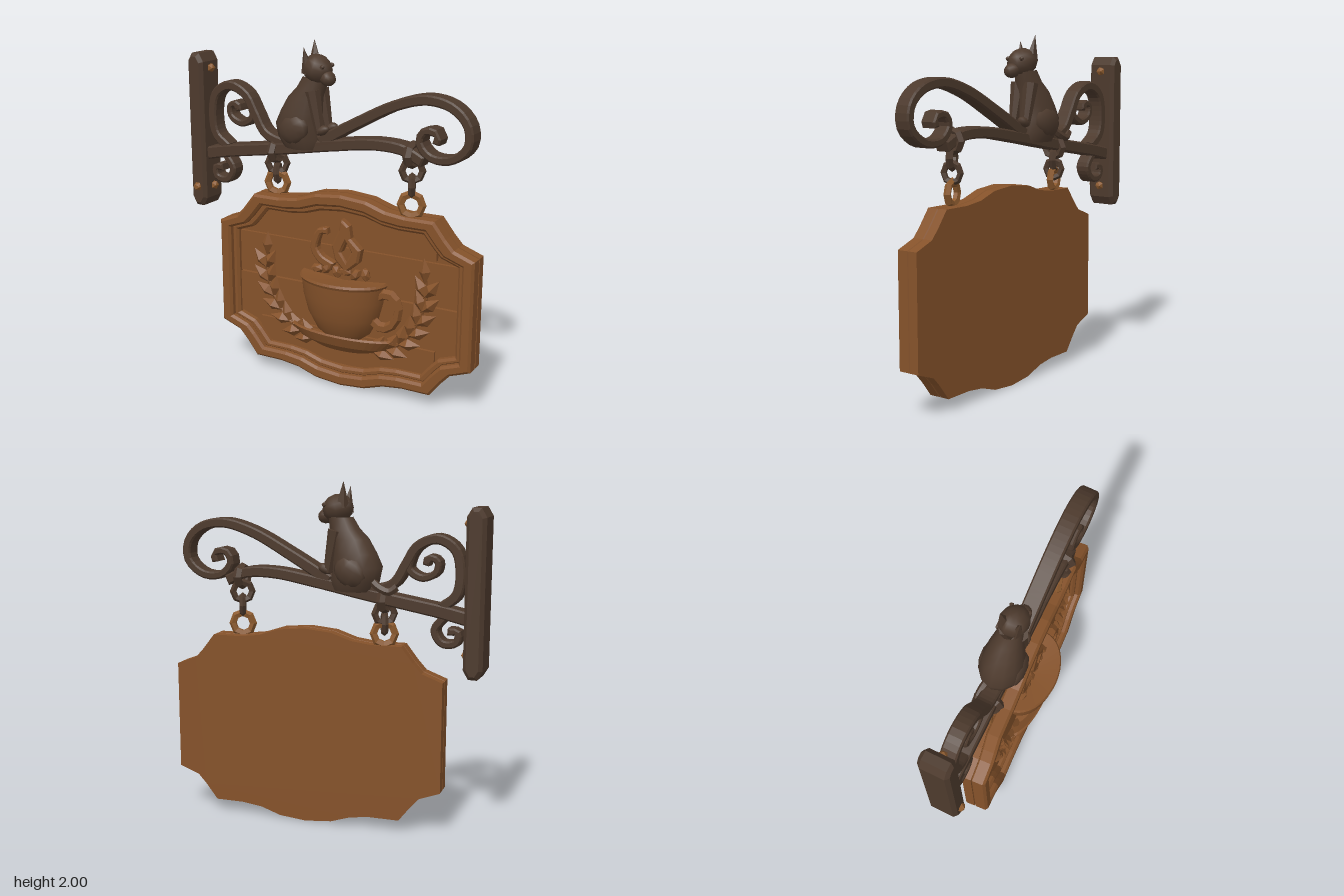
import * as THREE from 'three';

const iron = new THREE.MeshStandardMaterial({ color: 0x4d3a2d });
iron.name = 'dark iron';
const wood = new THREE.MeshStandardMaterial({ color: 0x85522a });
wood.name = 'brown wood';
const copper = new THREE.MeshStandardMaterial({ color: 0x8c5a2e });
copper.name = 'copper';

// Faceted normals for the carved look
function flat(geo) {
  const g = geo.index ? geo.toNonIndexed() : geo;
  g.computeVertexNormals();
  return g;
}

function add(parent, name, geo, mat, pos = [0, 0, 0], rot = [0, 0, 0], scale = [1, 1, 1]) {
  const m = new THREE.Mesh(geo, mat);
  m.name = name;
  m.position.set(...pos);
  m.rotation.set(...rot);
  m.scale.set(...scale);
  parent.add(m);
  return m;
}

const shapeOf = pts => new THREE.Shape(pts.map(p => new THREE.Vector2(p[0], p[1])));

// Extrusion with chamfered edges, spanning z0 to z1
function slab(shape, z0, z1, bevel = 0.012) {
  const g = new THREE.ExtrudeGeometry(shape, {
    depth: z1 - z0 - 2 * bevel, bevelEnabled: bevel > 0, bevelThickness: bevel,
    bevelSize: bevel, bevelOffset: -bevel, bevelSegments: 1, curveSegments: 4,
  });
  return g.translate(0, 0, z0 + bevel);
}

// Flat bar bent along a curve in the XY plane, tapering from t0 to t1
function ribbon(pts, t0, t1, z0, z1, samples = 30) {
  const curve = new THREE.CatmullRomCurve3(pts.map(p => new THREE.Vector3(p[0], p[1], 0)));
  const left = [], right = [];
  for (let i = 0; i <= samples; i++) {
    const t = i / samples, p = curve.getPointAt(t), d = curve.getTangentAt(t);
    const h = (t0 + (t1 - t0) * t) / 2;
    left.push([p.x - d.y * h, p.y + d.x * h]);
    right.unshift([p.x + d.y * h, p.y - d.x * h]);
  }
  return slab(shapeOf([...right, ...left]), z0, z1, 0.009);
}

// Stacked ellipses: [x, y, radiusX, radiusZ]
function loft(sections, n = 12) {
  const pos = [], idx = [];
  for (const [x, y, rx, rz] of sections)
    for (let i = 0; i < n; i++) {
      const a = i / n * Math.PI * 2;
      pos.push(x + Math.cos(a) * rx, y, Math.sin(a) * rz);
    }
  for (let s = 0; s < sections.length - 1; s++)
    for (let i = 0; i < n; i++) {
      const a = s * n + i, b = s * n + (i + 1) % n;
      idx.push(a, a + n, b, b, a + n, b + n);
    }
  const g = new THREE.BufferGeometry();
  g.setAttribute('position', new THREE.Float32BufferAttribute(pos, 3));
  g.setIndex(idx);
  g.computeVertexNormals();
  return g;
}

// Board outline with notched corners and wavy top and bottom
function outline(inset) {
  const kx = 1 - inset / 0.81, ky = 1 - inset / 0.58;
  const q = [[0.81, 0.32], [0.69, 0.365], [0.64, 0.42], [0.57, 0.51], [0.4, 0.51], [0.28, 0.525], [0.16, 0.565]]
    .map(([x, y]) => [x * kx, y * ky]);
  const top = [...q, [0, 0.58 * ky], ...q.slice().reverse().map(([x, y]) => [-x, y])];
  return [...top, ...top.map(([x, y]) => [-x, -y])];
}

function makeBoard() {
  const b = new THREE.Group();
  b.name = 'signBoard';
  add(b, 'backPanel', slab(shapeOf(outline(0)), -0.07, -0.015, 0), wood);
  // Two-step moulding
  [[0, 0.07, 0.07], [0.06, 0.105, 0.035]].forEach(([o, i, z], k) => {
    const s = shapeOf(outline(o));
    s.holes.push(new THREE.Path(outline(i).map(p => new THREE.Vector2(...p))));
    add(b, k ? 'innerMoulding' : 'outerFrame', slab(s, -0.02, z, 0.014), wood);
  });
  // Horizontal planks
  [[-0.37, 0.2, 0.57], [-0.13, 0.255, 0.76], [0.13, 0.25, 0.76], [0.375, 0.21, 0.57]].forEach(([y, h, w], i) =>
    add(b, 'plank', new THREE.BoxGeometry(2 * w, h, 0.03), wood, [0, y, -0.012 + (i % 2) * 0.005]));

  // Half-round cup and saucer
  const half = pts => new THREE.LatheGeometry(pts.map(p => new THREE.Vector2(...p)), 20, -Math.PI / 2, Math.PI);
  add(b, 'cup', half([[0.001, -0.29], [0.11, -0.285], [0.17, -0.24], [0.225, -0.14], [0.255, -0.03], [0.268, 0.08]]),
    wood, [0, 0, 0], [0, 0, 0], [1, 1, 0.68]);
  add(b, 'cupRim', flat(half([[0.268, 0.06], [0.278, 0.075], [0.268, 0.088], [0.24, 0.085], [0.001, 0.06]])),
    wood, [0, 0, 0], [0, 0, 0], [1, 1, 0.68]);
  add(b, 'saucer', flat(half([[0.001, -0.37], [0.18, -0.355], [0.29, -0.31], [0.35, -0.25], [0.33, -0.24], [0.24, -0.28], [0.001, -0.29]])),
    wood, [0, 0, 0], [0, 0, 0], [1, 1, 0.38]);
  add(b, 'cupHandle', flat(new THREE.TorusGeometry(0.082, 0.026, 6, 12)), wood, [0.275, -0.07, 0.03], [0, 0, -0.35], [1, 1.3, 1.2]);

  // Steam curls and the row of beans beneath
  add(b, 'steamCurl', ribbon([[-0.09, 0.35], [-0.14, 0.345], [-0.165, 0.3], [-0.18, 0.24], [-0.14, 0.18], [-0.06, 0.14]], 0.035, 0.055, -0.01, 0.05, 12), wood);
  const flame = shapeOf([[0, 0.435], [-0.015, 0.37], [-0.06, 0.27], [-0.04, 0.19], [0.03, 0.12], [0.11, 0.19], [0.125, 0.27], [0.06, 0.33], [0.05, 0.4]]);
  flame.holes.push(new THREE.Path([[0.03, 0.31], [0.065, 0.25], [0.035, 0.19], [0, 0.24]].map(p => new THREE.Vector2(...p))));
  add(b, 'steamFlame', slab(flame, -0.01, 0.055), wood);
  for (let i = 0; i < 6; i++)
    add(b, 'bean', flat(new THREE.IcosahedronGeometry(0.036, 0)), wood, [-0.16 + i * 0.062, 0.115 + (i % 2) * 0.012, 0.03], [0, 0, i], [1.2, 0.8, 0.9]);

  // Leaf sprays on both sides
  const spray = [[0.2, -0.335], [0.33, -0.28], [0.43, -0.18], [0.49, -0.06], [0.515, 0.06], [0.51, 0.15]];
  const leaf = flat(new THREE.OctahedronGeometry(1, 0));
  for (const s of [1, -1]) {
    const pts = spray.map(([x, y]) => [x * s, y]);
    add(b, 'sprayStem', ribbon(pts, 0.03, 0.015, -0.01, 0.025, 14), wood);
    const curve = new THREE.CatmullRomCurve3(pts.map(p => new THREE.Vector3(p[0], p[1], 0.025)));
    for (let i = 0; i <= 7; i++) {
      const p = curve.getPointAt(i / 7), d = curve.getTangentAt(i / 7);
      const ang = Math.atan2(d.y, d.x);
      for (const side of i === 7 ? [0] : [1, -1]) {
        const a = ang + side * 0.6;
        add(b, 'leaf', leaf, wood, [p.x + Math.cos(a) * 0.055, p.y + Math.sin(a) * 0.055, 0.02],
          [0, 0, a], [0.078, 0.036, 0.035]);
      }
    }
  }
  return b;
}

function makeCat() {
  const c = new THREE.Group();
  c.name = 'cat';
  const ball = new THREE.SphereGeometry(1, 10, 7);
  add(c, 'body', loft([[-0.17, 1.39, 0.12, 0.09], [-0.18, 1.45, 0.145, 0.115], [-0.195, 1.525, 0.145, 0.12], [-0.175, 1.6, 0.13, 0.108],
    [-0.15, 1.68, 0.108, 0.09], [-0.115, 1.735, 0.088, 0.072], [-0.09, 1.8, 0.072, 0.06]]), iron);
  add(c, 'head', ball, iron, [-0.07, 1.845, 0.01], [0, -0.2, -0.3], [0.092, 0.08, 0.08]);
  add(c, 'snout', ball, iron, [0.005, 1.8, 0.022], [0, -0.2, -0.4], [0.05, 0.042, 0.045]);
  [[-0.035, 1.928], [0.055, 1.895]].forEach(([z, y]) =>
    add(c, 'ear', flat(new THREE.ConeGeometry(0.042, 0.144, 5)), iron, [-0.115, y, z], [z * 3, 0, 0.1], [1, 1, 0.8]));
  for (const s of [1, -1]) {
    add(c, 'eye', flat(new THREE.IcosahedronGeometry(0.014, 0)), iron, [-0.005, 1.865, 0.012 + s * 0.05]);
    add(c, 'haunch', ball, iron, [-0.18, 1.505, s * 0.085], [0, 0, 0.5], [0.1, 0.085, 0.045]);
    add(c, 'frontLeg', flat(new THREE.CylinderGeometry(0.045, 0.026, 0.24, 7)), iron, [-0.055, 1.61, s * 0.045], [0, 0, 0.2]);
    add(c, 'paw', ball, iron, [-0.015, 1.51, s * 0.045], [0, 0, 0.4], [0.045, 0.028, 0.03]);
  }
  const tail = new THREE.CatmullRomCurve3([[-0.27, 1.47, -0.03], [-0.34, 1.42, -0.05], [-0.4, 1.4, -0.05], [-0.44, 1.43, -0.04]].map(p => new THREE.Vector3(...p)));
  add(c, 'tail', flat(new THREE.TubeGeometry(tail, 8, 0.024, 6)), iron);
  return c;
}

function makeBracket() {
  const g = new THREE.Group();
  g.name = 'wallBracket';
  // Wall plate with clipped corners and bolts
  const w = 0.055, c = 0.03, y0 = 0.95, y1 = 1.875;
  add(g, 'wallPlate', slab(shapeOf([[-w + c, y0], [w - c, y0], [w, y0 + 0.05], [w, y1 - 0.05], [w - c, y1], [-w + c, y1], [-w, y1 - 0.05], [-w, y0 + 0.05]]),
    -0.088, 0.088, 0.02), iron, [-0.885, 0, 0]);
  const bolt = flat(new THREE.IcosahedronGeometry(0.028, 0));
  [[-0.828, 1.785, 0], [-0.828, 1.07, 0], [-0.885, 1.07, 0.088]].forEach(p => add(g, 'bolt', bolt, copper, p));

  // Arm and scrolls
  add(g, 'arm', ribbon([[-0.84, 1.275], [-0.7, 1.305], [-0.55, 1.33], [-0.24, 1.38], [0.04, 1.43], [0.32, 1.47], [0.5, 1.46], [0.61, 1.41]], 0.075, 0.06, -0.052, 0.052), iron);
  add(g, 'frontScroll', ribbon([[-0.04, 1.44], [0.2, 1.575], [0.45, 1.7], [0.635, 1.745], [0.78, 1.715], [0.865, 1.63], [0.868, 1.52], [0.77, 1.44],
    [0.645, 1.445], [0.585, 1.52], [0.62, 1.58], [0.695, 1.565], [0.685, 1.515]], 0.068, 0.04, -0.05, 0.05, 48), iron);
  add(g, 'rearScroll', ribbon([[-0.25, 1.39], [-0.415, 1.445], [-0.49, 1.56], [-0.55, 1.655], [-0.665, 1.7], [-0.765, 1.645], [-0.795, 1.525],
    [-0.775, 1.4], [-0.69, 1.33]], 0.055, 0.055, -0.047, 0.047, 32), iron);
  add(g, 'rearCurl', ribbon([[-0.52, 1.61], [-0.505, 1.53], [-0.58, 1.485], [-0.66, 1.52], [-0.665, 1.58], [-0.61, 1.595], [-0.6, 1.555]], 0.045, 0.035, -0.044, 0.044, 24), iron);
  add(g, 'lowerCurl', ribbon([[-0.71, 1.28], [-0.655, 1.2], [-0.7, 1.13], [-0.78, 1.14], [-0.785, 1.195], [-0.73, 1.2]], 0.045, 0.04, -0.044, 0.044, 20), iron);

  // Chains: collar round the arm, then alternating links
  const link = flat(new THREE.TorusGeometry(0.05, 0.019, 5, 8));
  [[-0.355, 1.345, [1.27, 1.215]], [0.53, 1.435, [1.345, 1.265]]].forEach(([x, y, ys]) => {
    add(g, 'chainCollar', link, iron, [x, y, 0], [0, Math.PI / 2, 0], [1.3, 1.15, 1.4]);
    add(g, 'chainLink', link, iron, [x, ys[0], 0], [0, 0.5, 0], [1.1, 1.1, 1.1]);
    add(g, 'chainLink', link, iron, [x, ys[1], 0], [0, 2.0, 0], [0.95, 1.05, 1]);
    add(g, 'lowerLink', link, copper, [x, 1.155, 0], [0, 0.3, 0], [1.2, 1.25, 1.1]);
  });
  g.add(makeCat());
  return g;
}

export function createModel() {
  const root = new THREE.Group();
  root.name = 'hangingSign';
  const board = makeBoard();
  board.position.set(0.09, 0.582, 0.093);
  board.rotation.y = -0.497;
  const bracket = makeBracket();
  bracket.position.set(0, 0, 0.026);
  bracket.rotation.y = -0.56;
  root.add(board, bracket);
  return root;
}
